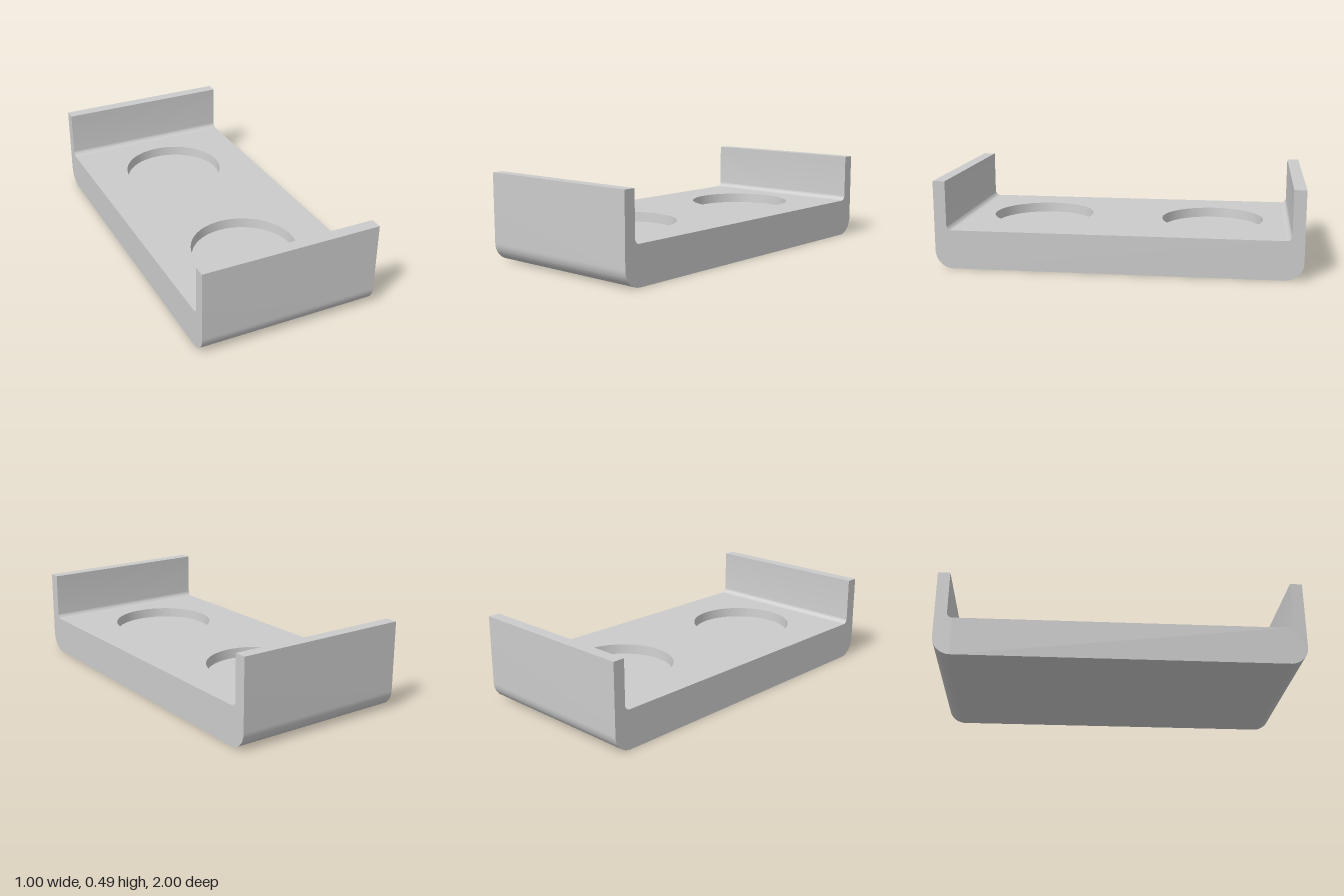
import * as THREE from 'three';
import { toCreasedNormals } from 'three/addons/utils/BufferGeometryUtils.js';

const HALF_W = 0.5, HALF_L = 1, TOP = 0.487, FLOOR = 0.215, POCKET = 0.16;
const WALL = 0.067, OUTER_R = 0.1, INNER_R = 0.03;
const INNER = HALF_L - WALL, FLOOR_END = INNER - INNER_R;

export function createModel() {
  const model = new THREE.Group();
  const mat = new THREE.MeshStandardMaterial({ color: 0xcccccc });
  const add = (name, geo) => {
    const mesh = new THREE.Mesh(geo, mat);
    mesh.name = name;
    model.add(mesh);
  };

  // Side profile: from one end of the floor, round the underside, to the other
  const profile = new THREE.Shape();
  profile.moveTo(-FLOOR_END, FLOOR);
  profile.absarc(-FLOOR_END, FLOOR + INNER_R, INNER_R, -Math.PI / 2, -Math.PI, true);
  profile.lineTo(-INNER, TOP);
  profile.lineTo(-HALF_L, TOP);
  profile.absarc(-HALF_L + OUTER_R, OUTER_R, OUTER_R, Math.PI, 1.5 * Math.PI, false);
  profile.absarc(HALF_L - OUTER_R, OUTER_R, OUTER_R, -Math.PI / 2, 0, false);
  profile.lineTo(HALF_L, TOP);
  profile.lineTo(INNER, TOP);
  profile.absarc(FLOOR_END, FLOOR + INNER_R, INNER_R, 0, -Math.PI / 2, true);

  // Shell: the profile swept across the width
  const pts = profile.getPoints(16);
  const pos = [];
  for (let i = 0; i < pts.length - 1; i++) {
    const p = pts[i], q = pts[i + 1];
    if (p.distanceTo(q) < 1e-6) continue;
    const a = [p.x, p.y, -HALF_W], b = [p.x, p.y, HALF_W];
    const c = [q.x, q.y, HALF_W], d = [q.x, q.y, -HALF_W];
    pos.push(...a, ...c, ...b, ...a, ...d, ...c);
  }
  const strip = new THREE.BufferGeometry();
  strip.setAttribute('position', new THREE.Float32BufferAttribute(pos, 3));
  add('trayShell', toCreasedNormals(strip, 0.6).rotateY(Math.PI / 2));

  // Flat long sides
  for (const s of [1, -1]) {
    const side = new THREE.ShapeGeometry(profile, 16).rotateY(s * Math.PI / 2);
    add(s > 0 ? 'leftSide' : 'rightSide', side.translate(s * HALF_W, 0, 0));
  }

  // Floor with two round recesses
  const floor = new THREE.Shape([
    new THREE.Vector2(-HALF_W, -FLOOR_END), new THREE.Vector2(HALF_W, -FLOOR_END),
    new THREE.Vector2(HALF_W, FLOOR_END), new THREE.Vector2(-HALF_W, FLOOR_END),
  ]);
  const recesses = [
    { name: 'front', x: -0.011, z: 0.498 },
    { name: 'back', x: 0.008, z: -0.497 },
  ];
  const rTop = 0.29, rBottom = 0.285;
  for (const { name, x, z } of recesses) {
    floor.holes.push(new THREE.Path().absarc(x, -z, rTop, 0, Math.PI * 2, true));
    // Recess wall, facing inwards
    const wall = new THREE.LatheGeometry(
      [new THREE.Vector2(rTop, FLOOR), new THREE.Vector2(rBottom, POCKET)], 64);
    add(name + 'RecessWall', wall.translate(x, 0, z));
    const base = new THREE.CircleGeometry(rBottom, 64).rotateX(-Math.PI / 2);
    add(name + 'RecessBase', base.translate(x, POCKET, z));
  }
  add('trayFloor', new THREE.ShapeGeometry(floor, 64).rotateX(-Math.PI / 2).translate(0, FLOOR, 0));

  return model;
}
